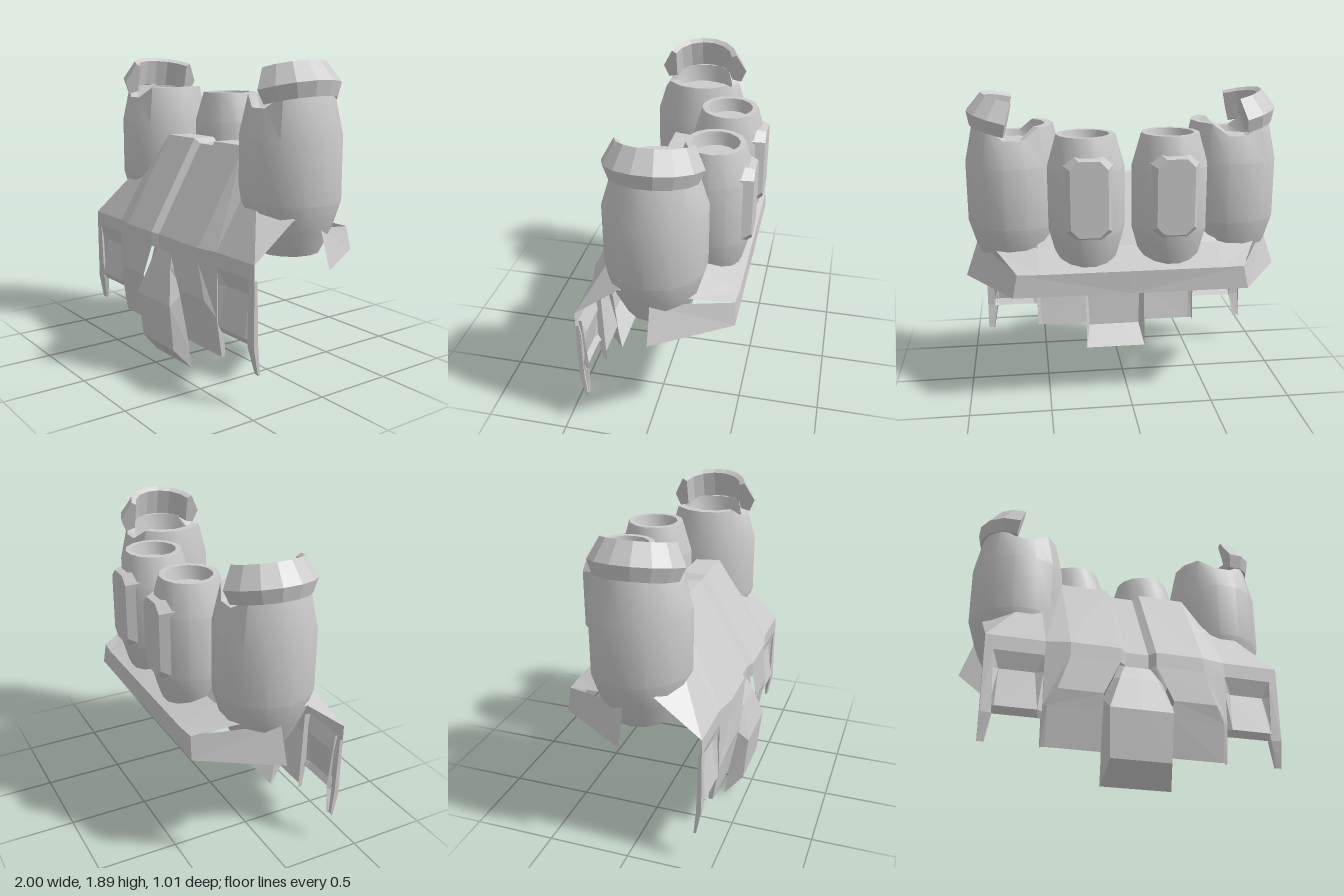
import * as THREE from 'three';
import { toCreasedNormals } from 'three/addons/utils/BufferGeometryUtils.js';

const grey = new THREE.MeshStandardMaterial({ color: 0xcccccc, side: THREE.DoubleSide });
const flat = new THREE.MeshStandardMaterial({ color: 0xcccccc, side: THREE.DoubleSide, flatShading: true });

// Surface through rows of points; side = -1 mirrors it in x
function sheet(name, rows, side = 1) {
  const cols = rows[0].length, pos = [], index = [];
  for (const row of rows) for (const [x, y, z] of row) pos.push(x * side, y, z);
  for (let r = 0; r < rows.length - 1; r++) {
    for (let c = 0; c < cols - 1; c++) {
      const a = r * cols + c, b = a + cols;
      if (side > 0) index.push(a, b, b + 1, a, b + 1, a + 1);
      else index.push(a, b + 1, b, a, a + 1, b + 1);
    }
  }
  const g = new THREE.BufferGeometry();
  g.setAttribute('position', new THREE.Float32BufferAttribute(pos, 3));
  g.setIndex(index);
  const flatGeo = g.toNonIndexed();
  flatGeo.computeVertexNormals();
  const mesh = new THREE.Mesh(flatGeo, flat);
  mesh.name = name;
  return mesh;
}

// Turned barrel with a hollow mouth; notched lowers the rim at front and back
function barrel(name, profile, notchY) {
  const sides = 14;
  const pts = profile.map(([r, y]) => new THREE.Vector2(r, y));
  const g = new THREE.LatheGeometry(pts, sides, Math.PI / sides);
  if (notchY) {
    const p = g.attributes.position;
    for (let i = 0; i < p.count; i++) {
      if (p.getY(i) > notchY && Math.abs(p.getX(i)) < 0.06) p.setY(i, notchY);
    }
  }
  const mesh = new THREE.Mesh(toCreasedNormals(g, 0.5), grey);
  mesh.name = name;
  return mesh;
}

// Bevelled long octagon on the back of an inner barrel
function backPanel() {
  const ring = (w, y0, y1, k, z) => [
    [-w + k, y0, z], [-w, y0 + k, z], [-w, y1 - k, z], [-w + k, y1, z],
    [w - k, y1, z], [w, y1 - k, z], [w, y0 + k, z], [w - k, y0, z], [-w + k, y0, z],
  ];
  const outer = ring(0.11, 1.1, 1.55, 0.05, -0.505);
  const centre = outer.map(() => [0, 1.32, -0.505]);
  return sheet('backPanel', [ring(0.155, 1.04, 1.58, 0.06, -0.41), outer, centre]);
}

// Tilted half ring floating over the outer side of an outer barrel
function rimGuard() {
  const pts = [[0.19, -0.06], [0.25, -0.08], [0.285, 0], [0.22, 0.125], [0.19, 0.11], [0.19, -0.06]]
    .map(([r, y]) => new THREE.Vector2(r, y));
  const group = new THREE.Group();
  const arc = Math.PI * 0.9, start = Math.PI / 2 - arc / 2;
  group.add(new THREE.Mesh(new THREE.LatheGeometry(pts, 7, start, arc), flat));
  // End caps
  for (const angle of [start, start + arc]) {
    const cap = new THREE.Mesh(new THREE.ShapeGeometry(new THREE.Shape(pts.slice(0, 5))), flat);
    cap.rotation.y = angle - Math.PI / 2;
    group.add(cap);
  }
  group.rotation.z = 0.23;
  group.name = 'rimGuard';
  return group;
}

export function createModel() {
  const model = new THREE.Group();
  model.name = 'thrusterPack';

  for (const s of [1, -1]) {
    // Main cover: roof from the rear edge forward, then down the front slope
    model.add(sheet('cover', [
      [[0, 0.88, -0.48], [0.07, 0.88, -0.48], [0.11, 0.88, -0.48], [0.41, 0.88, -0.48], [0.55, 0.88, -0.48], [0.68, 0.88, -0.47]],
      [[0, 0.97, -0.25], [0.07, 0.97, -0.25], [0.11, 0.97, -0.25], [0.41, 0.97, -0.25], [0.55, 0.97, -0.25], [0.79, 0.95, -0.25]],
      [[0, 1.36, -0.03], [0.07, 1.36, -0.03], [0.11, 1.39, -0.03], [0.41, 1.39, -0.03], [0.55, 1.28, -0.03], [0.9, 1.0, -0.03]],
      [[0, 1.36, 0.1], [0.07, 1.36, 0.1], [0.11, 1.39, 0.12], [0.41, 1.39, 0.12], [0.55, 1.29, 0.13], [0.9, 1.03, 0.15]],
      [[0, 0.81, 0.42], [0.07, 0.81, 0.42], [0.11, 0.82, 0.45], [0.41, 0.82, 0.45], [0.55, 0.82, 0.42], [0.9, 0.82, 0.42]],
      [[0, 0.72, 0.42], [0.07, 0.72, 0.42], [0.11, 0.73, 0.45], [0.41, 0.73, 0.45], [0.555, 0.73, 0.42], [0.9, 0.73, 0.42]],
    ], s));

    // Lower front plate with its outer return
    model.add(sheet('frontPlate', [
      [[0.11, 0.73, 0.45], [0.41, 0.73, 0.45], [0.555, 0.73, 0.42], [0.555, 0.73, 0.38]],
      [[0.21, 0.52, 0.455], [0.48, 0.52, 0.455], [0.555, 0.43, 0.42], [0.555, 0.43, 0.37]],
      [[0.21, 0.42, 0.435], [0.53, 0.42, 0.43], [0.555, 0.42, 0.42], [0.555, 0.42, 0.37]],
      [[0.21, 0.19, 0.39], [0.53, 0.19, 0.39], [0.555, 0.19, 0.385], [0.555, 0.19, 0.36]],
    ], s));

    // Recessed panel beside it
    model.add(sheet('recessPanel', [
      [[0.555, 0.73, 0.42], [0.57, 0.73, 0.42], [0.85, 0.73, 0.42], [0.86, 0.73, 0.42]],
      [[0.555, 0.63, 0.41], [0.6, 0.63, 0.385], [0.81, 0.63, 0.385], [0.855, 0.63, 0.41]],
      [[0.555, 0.39, 0.41], [0.585, 0.39, 0.425], [0.825, 0.39, 0.425], [0.85, 0.39, 0.41]],
      [[0.555, 0.35, 0.39], [0.58, 0.35, 0.4], [0.83, 0.35, 0.4], [0.85, 0.35, 0.39]],
    ], s));

    // Thin outer flap
    model.add(sheet('sideFlap', [
      [[0.85, 0.73, 0.4], [0.85, 0.73, 0.42], [0.9, 0.73, 0.42], [0.9, 0.73, 0.4]],
      [[0.83, 0.35, 0.38], [0.835, 0.35, 0.415], [0.9, 0.35, 0.42], [0.9, 0.35, 0.39]],
      [[0.86, 0.19, 0.375], [0.865, 0.19, 0.385], [0.9, 0.19, 0.39], [0.9, 0.19, 0.375]],
    ], s));

    // Central tail fin
    model.add(sheet('tailFin', [
      [[0, 0.72, 0.42], [0.08, 0.72, 0.42], [0.11, 0.72, 0.43]],
      [[0, 0.63, 0.455], [0.115, 0.63, 0.455], [0.15, 0.63, 0.43]],
      [[0, 0.42, 0.51], [0.19, 0.42, 0.51], [0.21, 0.5, 0.42]],
      [[0, 0.13, 0.48], [0.18, 0.13, 0.48], [0.21, 0.13, 0.385]],
      [[0, 0, 0.365], [0.21, 0, 0.365], [0.21, 0, 0.365]],
    ], s));

    // Band around the rear
    model.add(sheet('rearBand', [
      [[0.92, 0.97, -0.03], [0.68, 0.88, -0.47], [0, 0.88, -0.48]],
      [[1, 0.74, -0.03], [0.71, 0.74, -0.48], [0, 0.74, -0.48]],
    ], s));

    // Outer barrel
    const outer = barrel('outerBarrel', [
      [0, 0.8], [0.18, 0.8], [0.25, 0.95], [0.295, 1.1], [0.295, 1.47],
      [0.245, 1.7], [0.195, 1.7], [0.18, 1.59], [0, 1.59],
    ], 1.63);
    outer.position.set(0.675 * s, 0, -0.012);
    model.add(outer);

    const guard = rimGuard();
    const guardSide = new THREE.Group();
    guardSide.name = 'guardMount';
    guard.position.y = 1.72;
    guardSide.add(guard);
    if (s < 0) guardSide.rotation.y = Math.PI;
    guardSide.position.set(0.675 * s, 0, -0.012);
    model.add(guardSide);

    // Inner barrel with its rear panel
    const inner = barrel('innerBarrel', [
      [0, 0.82], [0.14, 0.82], [0.19, 0.95], [0.23, 1.1], [0.23, 1.48],
      [0.175, 1.67], [0.14, 1.67], [0.125, 1.59], [0, 1.59],
    ]);
    inner.position.set(0.252 * s, 0, -0.265);
    const panel = backPanel();
    panel.position.x = 0.252 * s;
    model.add(inner, panel);
  }
  return model;
}
